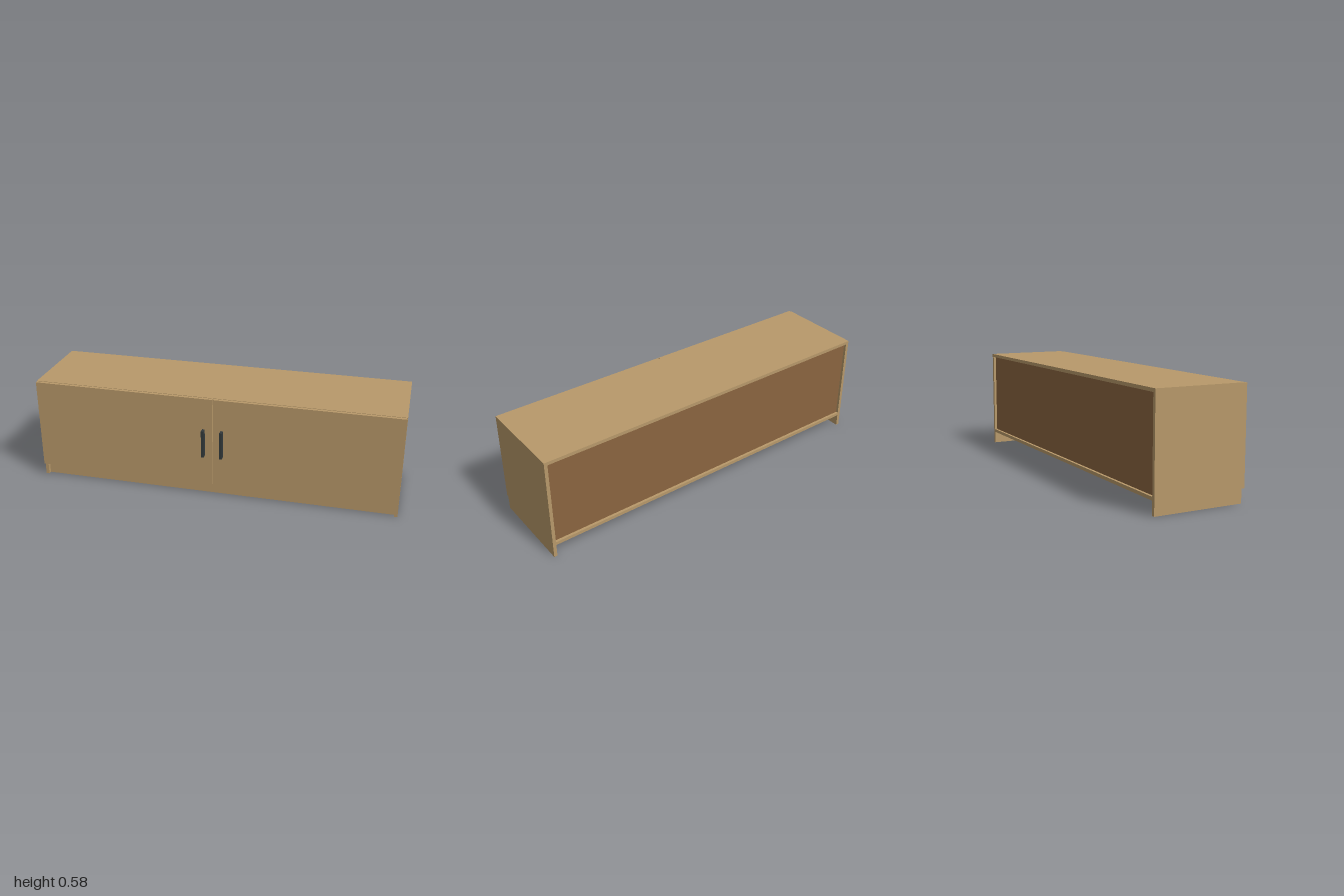
import * as THREE from 'three';

export function createModel() {
  const model = new THREE.Group();
  model.name = 'cabinet';

  const wood = new THREE.MeshStandardMaterial({ color: 0xb8996a });
  wood.name = 'lightWood';
  const backing = new THREE.MeshStandardMaterial({ color: 0x8b6540 });
  backing.name = 'brownBacking';
  const metal = new THREE.MeshStandardMaterial({ color: 0x33393b });
  metal.name = 'darkMetal';

  // Box given by its lower and upper limits on each axis
  function panel(name, material, [x0, x1], [y0, y1], [z0, z1]) {
    const mesh = new THREE.Mesh(new THREE.BoxGeometry(x1 - x0, y1 - y0, z1 - z0), material);
    mesh.position.set((x0 + x1) / 2, (y0 + y1) / 2, (z0 + z1) / 2);
    mesh.name = name;
    model.add(mesh);
  }

  const t = 0.018; // board thickness
  const height = 0.578, back = -0.265, front = 0.217;
  const inner = 1 - t;
  const floorY = 0.07;

  // Carcass
  panel('topPanel', wood, [-inner, inner], [height - t, height], [back, front]);
  panel('bottomPanel', wood, [-inner, inner], [floorY, floorY + t], [back, front]);
  panel('plinth', wood, [-inner, inner], [0, floorY], [front - 0.02 - t, front - 0.02]);
  panel('backPanel', backing, [-inner, inner], [floorY + t, height - t], [back + 0.014, back + 0.02]);

  // Mirrored sides, doors and handles
  for (const [label, s] of [['left', 1], ['right', -1]]) {
    const span = (a, b) => (s > 0 ? [a, b] : [-b, -a]);
    panel(label + 'Side', wood, span(inner, 1), [0, height], [back, front]);
    panel(label + 'Door', wood, span(0.002, 0.998), [0.072, 0.576], [front + 0.0005, front + t]);
    panel(label + 'Handle', metal, span(0.043, 0.057), [0.247, 0.401], [front + t, 0.265]);
  }

  return model;
}
